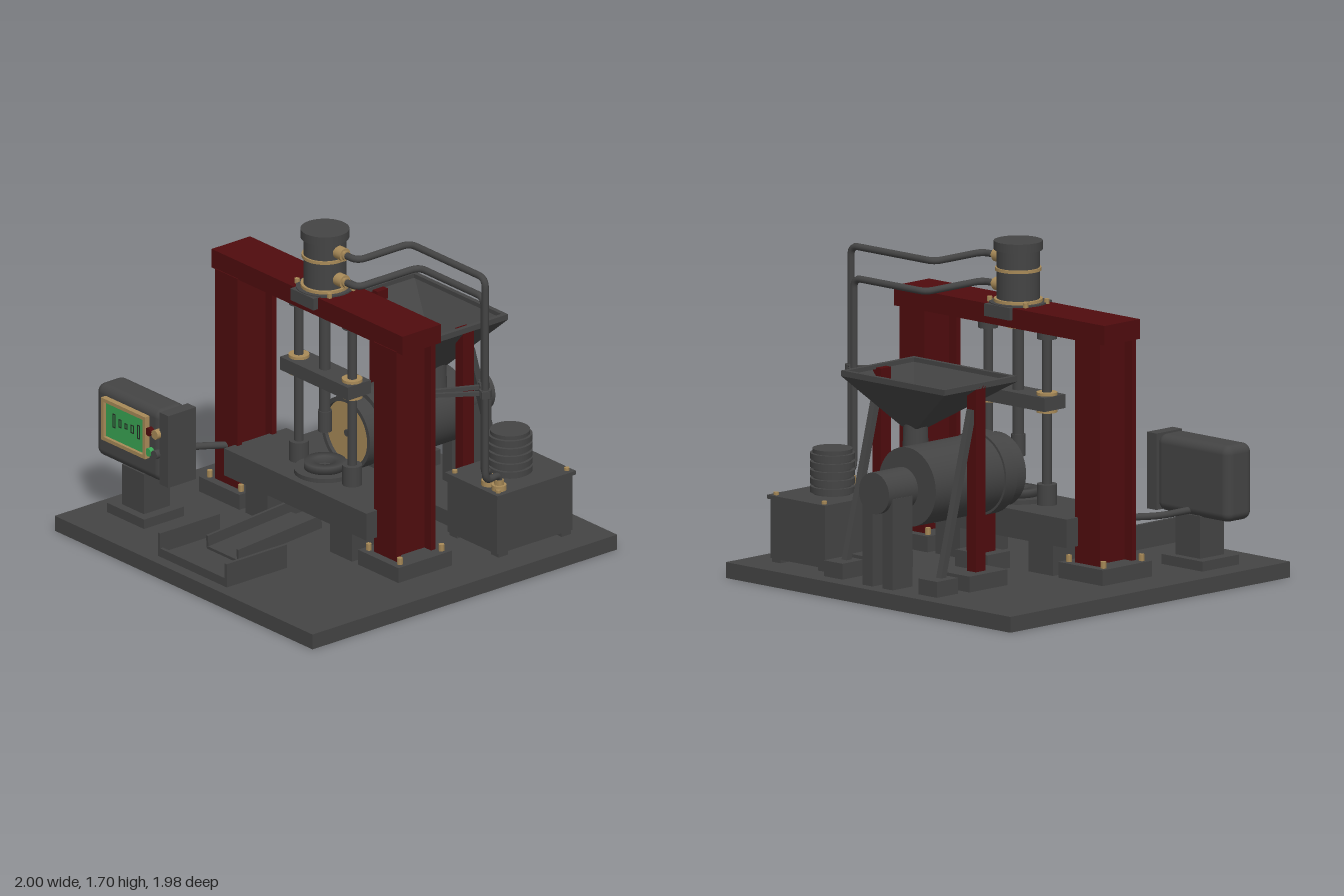
import * as THREE from 'three';
import { RoundedBoxGeometry } from 'three/addons/geometries/RoundedBoxGeometry.js';

const V = (x, y, z) => new THREE.Vector3(x, y, z);

export function createModel() {
  const model = new THREE.Group();
  const mat = (name, color) => Object.assign(new THREE.MeshStandardMaterial({ color, side: THREE.DoubleSide }), { name });
  const steel = mat('dark steel', 0x444444);
  const red = mat('deep red paint', 0x500c0e);
  const brass = mat('brass', 0xa88a58);
  const green = mat('screen green', 0x3aa554);
  const black = mat('display black', 0x222a22);

  const add = (name, geo, m) => {
    const mesh = new THREE.Mesh(geo, m);
    mesh.name = name;
    model.add(mesh);
    return mesh;
  };
  // Box from its minimum and maximum limits
  const box = (name, m, x0, x1, y0, y1, z0, z1) => {
    const b = add(name, new THREE.BoxGeometry(x1 - x0, y1 - y0, z1 - z0), m);
    b.position.set((x0 + x1) / 2, (y0 + y1) / 2, (z0 + z1) / 2);
    return b;
  };
  // Round bar between two points
  const rod = (name, m, a, b, r, sides = 32) => {
    const d = b.clone().sub(a);
    const c = add(name, new THREE.CylinderGeometry(r, r, d.length(), sides), m);
    c.position.copy(a).add(b).multiplyScalar(0.5);
    c.quaternion.setFromUnitVectors(V(0, 1, 0), d.normalize());
    return c;
  };
  const post = (name, m, x, z, y0, y1, r, sides) => rod(name, m, V(x, y0, z), V(x, y1, z), r, sides);
  // Square bar between two points
  const bar = (name, m, a, b, w, h = w) => {
    const s = add(name, new THREE.BoxGeometry(w, h, a.distanceTo(b)), m);
    s.position.copy(a).add(b).multiplyScalar(0.5);
    s.lookAt(b);
    return s;
  };
  // Pipe with rounded bends
  const pipe = (name, pts, r, bend = 0.05) => {
    const path = new THREE.CurvePath();
    let from = pts[0];
    for (let i = 1; i < pts.length; i++) {
      if (i === pts.length - 1) { path.add(new THREE.LineCurve3(from, pts[i])); break; }
      const toward = (q) => {
        const d = q.clone().sub(pts[i]);
        return pts[i].clone().addScaledVector(d, Math.min(bend, d.length() * 0.45) / d.length());
      };
      const a = toward(pts[i - 1]), b = toward(pts[i + 1]);
      path.add(new THREE.LineCurve3(from, a));
      path.add(new THREE.QuadraticBezierCurve3(a, pts[i], b));
      from = b;
    }
    add(name, new THREE.TubeGeometry(path, 140, r, 12), steel);
  };

  // Base plate
  box('basePlate', steel, -0.99, 0.995, 0, 0.08, -0.99, 0.99);

  // Portal frame: two I-section columns and a cross beam
  for (const s of [-1, 1]) {
    const x = s * 0.612;
    box('columnFoot', steel, x - 0.155, x + 0.155, 0.08, 0.16, -0.11, 0.24);
    box('columnFrontFlange', red, x - 0.087, x + 0.087, 0.16, 1.29, 0.165, 0.195);
    box('columnRearFlange', red, x - 0.087, x + 0.087, 0.16, 1.29, -0.06, -0.03);
    box('columnWeb', red, x - 0.035, x + 0.035, 0.16, 1.29, -0.03, 0.165);
    for (const dx of [-0.12, 0.12]) for (const z of [-0.07, 0.2]) post('anchorBolt', brass, x + dx, z, 0.16, 0.195, 0.015, 6);
  }
  box('crossBeam', red, -0.73, 0.74, 1.285, 1.385, -0.06, 0.19);
  box('cylinderSaddle', steel, -0.088, 0.09, 1.325, 1.388, -0.08, 0.22);

  // Hydraulic cylinder on the beam
  const pz = 0.07;
  post('cylinderFlange', steel, 0, pz, 1.385, 1.393, 0.145);
  post('cylinderBaseRing', brass, 0, pz, 1.393, 1.408, 0.122);
  post('cylinderBody', steel, 0, pz, 1.4, 1.66, 0.107);
  post('cylinderBand', brass, 0, pz, 1.55, 1.566, 0.116);
  post('cylinderCap', steel, 0, pz, 1.655, 1.7, 0.122);
  for (const sx of [-1, 1]) for (const sz of [-1, 1]) post('flangeBolt', brass, sx * 0.125, pz + sz * 0.075, 1.385, 1.41, 0.014, 6);
  for (const y of [1.605, 1.46]) {
    rod('cylinderPort', brass, V(0.09, y, pz), V(0.155, y, pz), 0.034, 20);
    rod('portNut', brass, V(0.14, y, pz), V(0.17, y, pz), 0.026, 6);
  }

  // Press rods, crosshead and punch
  post('glandRing', brass, 0, pz, 1.262, 1.285, 0.06);
  post('pistonRod', steel, 0, pz, 0.7, 1.29, 0.029);
  post('punch', steel, 0, pz, 0.61, 0.72, 0.035);
  box('crosshead', steel, -0.257, 0.265, 0.875, 0.945, pz - 0.075, pz + 0.075);
  for (const x of [-0.2, 0.21]) {
    post('guideRod', steel, x, pz, 0.39, 1.285, 0.024);
    post('lowerSocket', steel, x, pz, 0.39, 0.495, 0.05);
    post('upperSocket', steel, x, pz, 1.23, 1.286, 0.05);
    post('guideBush', brass, x, pz, 0.858, 0.96, 0.052);
  }

  // Press table with legs and die
  box('pressTable', steel, -0.545, 0.55, 0.245, 0.39, -0.14, 0.265);
  for (const x of [-0.325, 0.325]) box('tableLeg', steel, x - 0.085, x + 0.085, 0.08, 0.245, -0.1, 0.24);
  post('dieBase', steel, 0, pz, 0.39, 0.412, 0.155);
  const dieProfile = [[0.055, 0.41], [0.105, 0.41], [0.105, 0.45], [0.055, 0.45], [0.055, 0.41]];
  add('dieRing', new THREE.LatheGeometry(dieProfile.map((p) => new THREE.Vector2(...p)), 40).toNonIndexed(), steel).position.set(0, 0, pz);

  // Horizontal mixing drum
  const dy = 0.56, disc = (n, m, z0, z1, r, y = dy) => rod(n, m, V(0.005, y, z0), V(0.005, y, z1), r, 48);
  const ring = new THREE.Shape().absarc(0, 0, 0.188, 0, Math.PI * 2);
  ring.holes.push(new THREE.Path().absarc(0, 0, 0.166, 0, Math.PI * 2));
  add('drumRim', new THREE.ExtrudeGeometry(ring, { depth: 0.09, bevelEnabled: false, curveSegments: 48 }), steel).position.set(0.005, dy, -0.15);
  disc('drumFace', brass, -0.15, -0.08, 0.167);
  disc('drumHub', steel, -0.08, -0.065, 0.018);
  disc('drumFlange', steel, -0.225, -0.145, 0.212);
  disc('drumBody', steel, -0.71, -0.225, 0.2);
  disc('shaftCoupling', brass, -0.75, -0.7, 0.035);
  box('drumSupport', red, -0.05, 0.055, 0.16, 0.38, -0.24, -0.14);
  box('drumSupportFoot', steel, -0.11, 0.115, 0.08, 0.165, -0.26, -0.1);

  // Drive motor on two side plates
  disc('driveMotor', steel, -0.945, -0.74, 0.105);
  for (const x of [-0.065, 0.075]) box('motorStand', steel, x - 0.035, x + 0.035, 0.08, 0.54, -0.92, -0.78);

  // Feed hopper: open tapered funnel with a rim
  const hx = 0.005, hz = -0.555;
  const corners = (cx, cz, w, d, y) => [[-1, -1], [1, -1], [1, 1], [-1, 1]].map(([a, b]) => V(cx + a * w, y, cz + b * d));
  const rings = [corners(hx, hz, 0.36, 0.257, 1.112), corners(hx, hz, 0.36, 0.257, 1.085), corners(0.1, hz, 0.05, 0.045, 0.83)];
  const pts = [];
  for (let k = 0; k < 2; k++) for (let i = 0; i < 4; i++) {
    const j = (i + 1) % 4, [a, b, c, d] = [rings[k][i], rings[k][j], rings[k + 1][j], rings[k + 1][i]];
    pts.push(a, b, c, a, c, d);
  }
  const funnel = new THREE.BufferGeometry().setFromPoints(pts);
  funnel.computeVertexNormals();
  add('hopperFunnel', funnel, steel);
  for (const s of [-1, 1]) {
    box('hopperRim', steel, hx - 0.36, hx + 0.36, 1.092, 1.114, hz + s * 0.245 - 0.012, hz + s * 0.245 + 0.012);
    box('hopperRim', steel, hx + s * 0.348 - 0.012, hx + s * 0.348 + 0.012, 1.092, 1.114, hz - 0.257, hz + 0.257);
    // Hopper posts, feet and rear braces
    const x = hx + s * 0.33;
    box('hopperPost', red, x - 0.03, x + 0.03, 0.16, 1.1, hz - 0.035, hz + 0.035);
    box('postFoot', steel, x - 0.085, x + 0.085, 0.08, 0.16, -0.69, -0.42);
    box('braceFoot', steel, x - 0.065, x + 0.065, 0.08, 0.16, -0.9, -0.75);
    bar('hopperBrace', steel, V(x, 0.14, -0.81), V(x, 0.98, -0.59), 0.035);
  }
  add('feedSpout', new THREE.CylinderGeometry(0.06, 0.068, 0.23, 32, 1, true), steel).position.set(0.1, 0.745, hz);

  // Hydraulic power unit
  box('tank', steel, 0.46, 0.84, 0.1, 0.405, -0.83, -0.34);
  for (const x of [0.49, 0.81]) for (const z of [-0.79, -0.38]) box('tankFoot', steel, x - 0.03, x + 0.03, 0.08, 0.1, z - 0.03, z + 0.03);
  box('tankLid', steel, 0.45, 0.855, 0.4, 0.42, -0.84, -0.33);
  for (const x of [0.485, 0.82]) for (const z of [-0.81, -0.365]) post('lidBolt', brass, x, z, 0.42, 0.435, 0.014, 6);
  post('pumpMotor', steel, 0.65, -0.585, 0.42, 0.645, 0.095);
  for (let i = 0; i < 5; i++) post('coolingFin', steel, 0.65, -0.585, 0.43 + i * 0.042, 0.46 + i * 0.042, 0.112);
  post('pumpCap', steel, 0.65, -0.585, 0.63, 0.65, 0.1);
  for (const x of [0.71, 0.79]) {
    post('tankFitting', brass, x, -0.395, 0.42, 0.448, 0.037, 20);
    post('tankFittingNut', brass, x, -0.395, 0.44, 0.475, 0.026, 6);
  }

  // Hydraulic pipes and their clamp
  const line = (y, x, z, fx) => pipe('hydraulicPipe', [V(0.13, y, pz), V(0.25, y, pz), V(0.25, y, z), V(x, y, z),
    V(x, 0.51, z), V(fx, 0.5, -0.395), V(fx, 0.44, -0.395)], 0.018);
  line(1.605, 0.832, -0.27, 0.79);
  line(1.46, 0.752, -0.33, 0.71);
  bar('clampStrut', steel, V(0.63, 0.985, -0.05), V(0.76, 0.985, -0.32), 0.02);
  bar('clampStrut', steel, V(0.68, 0.985, -0.05), V(0.83, 0.985, -0.27), 0.02);
  bar('pipeClamp', steel, V(0.715, 0.985, -0.35), V(0.86, 0.985, -0.25), 0.04, 0.035);
  for (const [x, z] of [[0.832, -0.27], [0.752, -0.33]]) post('clampRing', steel, x, z, 0.965, 1.005, 0.03, 20);

  // Discharge chute (sloping channel) and collecting tray
  bar('chuteFloor', steel, V(0.005, 0.165, 0.2), V(0.005, 0.125, 0.74), 0.24, 0.015);
  for (const x of [-0.112, 0.122]) bar('chuteWall', steel, V(x, 0.195, 0.2), V(x, 0.155, 0.74), 0.015, 0.07);
  box('trayFloor', steel, -0.262, 0.27, 0.085, 0.105, 0.545, 0.935);
  box('trayFront', steel, -0.262, 0.27, 0.085, 0.13, 0.917, 0.935);
  for (const x of [-0.262, 0.252]) box('traySide', steel, x, x + 0.018, 0.085, 0.21, 0.545, 0.935);

  // Control cabinet on its pedestal
  box('pedestalFoot', steel, -0.86, -0.575, 0.08, 0.13, 0.5, 0.76);
  box('pedestal', steel, -0.8, -0.63, 0.13, 0.345, 0.545, 0.715);
  add('cabinet', new RoundedBoxGeometry(0.505, 0.388, 0.182, 5, 0.045), steel).position.set(-0.748, 0.529, 0.63);
  box('switchBox', steel, -0.5, -0.434, 0.336, 0.723, 0.54, 0.722);
  for (const y of [0.46, 0.667]) box('screenBezel', brass, -0.916, -0.578, y - 0.008, y + 0.011, 0.715, 0.752);
  for (const x of [-0.907, -0.588]) box('screenBezel', brass, x - 0.009, x + 0.01, 0.452, 0.678, 0.715, 0.752);
  box('screen', green, -0.9, -0.595, 0.468, 0.66, 0.72, 0.735);
  // Plain level marks on the screen, outlined bars
  [0.035, 0.02, 0.013, 0.02, 0.035].forEach((h, i) => {
    const x = -0.835 + i * 0.047;
    for (const s of [-1, 1]) {
      box('screenMark', black, x + s * 0.008 - 0.002, x + s * 0.008 + 0.002, 0.573 - h, 0.573 + h, 0.735, 0.738);
      box('screenMark', black, x - 0.01, x + 0.01, 0.573 + s * h - 0.002, 0.573 + s * h + 0.002, 0.735, 0.738);
    }
  });
  const knob = (n, m, x, y, r) => rod(n, m, V(x, y, 0.7), V(x, y, 0.745), r, 20);
  knob('redButton', red, -0.562, 0.603, 0.022);
  knob('brassKnob', brass, -0.513, 0.603, 0.025);
  knob('greenButton', green, -0.562, 0.493, 0.022);
  knob('steelKnob', steel, -0.517, 0.493, 0.023);

  // Cable conduit from the cabinet to the left column
  pipe('cableConduit', [V(-0.72, 0.365, 0.56), V(-0.72, 0.365, 0.34), V(-0.61, 0.365, 0.18)], 0.018, 0.08);

  return model;
}
